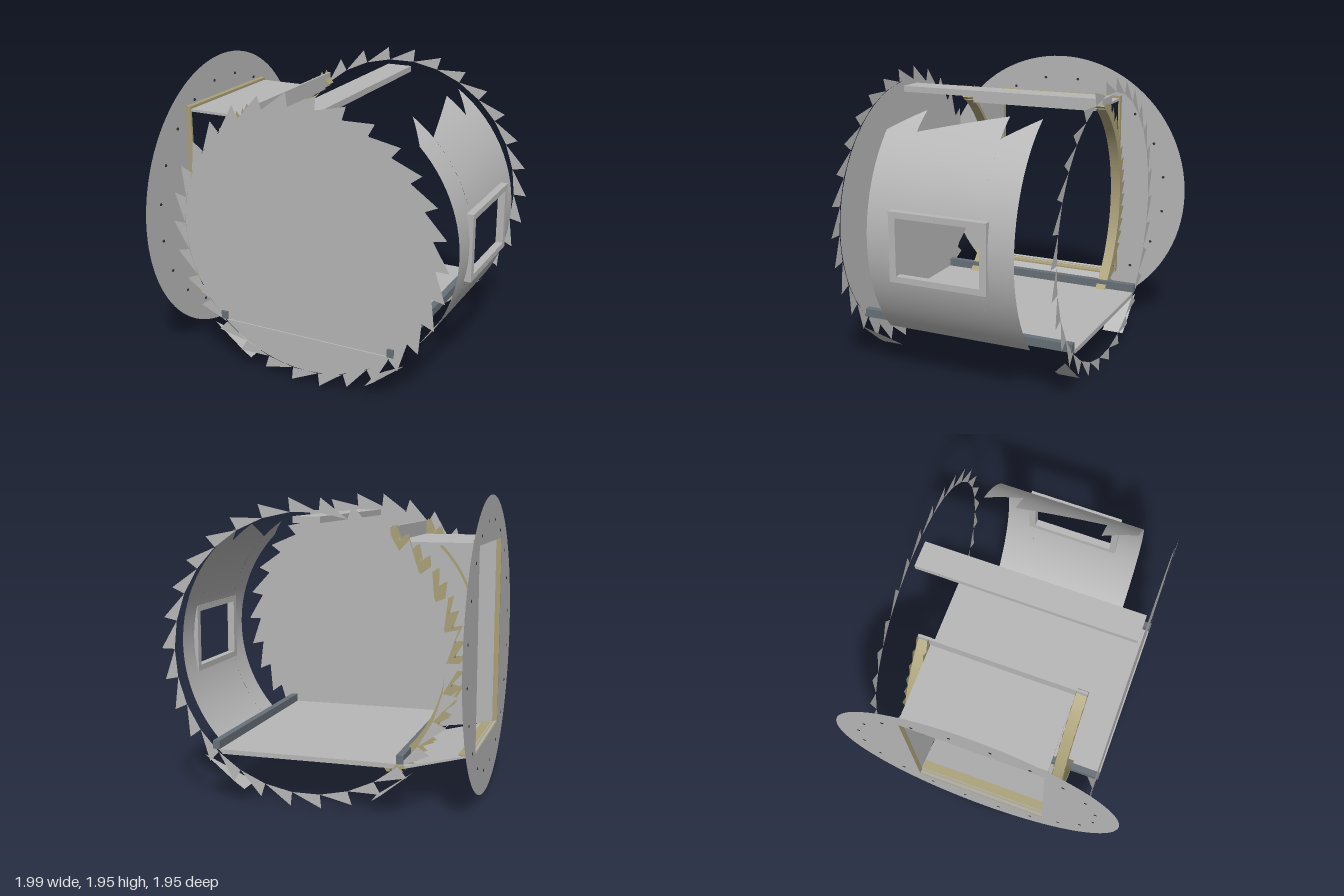
import * as THREE from 'three';

const CX = 0.02, CY = 0.98; // axis of the main drum
const D2 = THREE.DoubleSide;
const mat = (name, color, side = D2) => {
  const m = new THREE.MeshStandardMaterial({ color, side });
  m.name = name;
  return m;
};

export function createModel() {
  const root = new THREE.Group();
  root.name = 'drumChamber';
  const grey = mat('panelGrey', 0xb8b8b8);
  const slate = mat('slate', 0x687178);
  const beige = mat('beige', 0xaba179);
  const dark = mat('boltDark', 0x333333);

  const add = (name, geo, m, x = 0, y = 0, z = 0) => {
    const mesh = new THREE.Mesh(geo, m);
    mesh.name = name;
    mesh.position.set(x, y, z);
    root.add(mesh);
    return mesh;
  };
  // box given by its limits
  const box = (name, m, x0, x1, y0, y1, z0, z1) =>
    add(name, new THREE.BoxGeometry(x1 - x0, y1 - y0, z1 - z0), m, (x0 + x1) / 2, (y0 + y1) / 2, (z0 + z1) / 2);
  const fromPoints = (pts) => {
    const g = new THREE.BufferGeometry();
    g.setAttribute('position', new THREE.Float32BufferAttribute(pts, 3));
    g.computeVertexNormals();
    return g;
  };
  // saw teeth in a plane of constant z
  const teeth = (r0, r1, a0, step, n) => {
    const p = [];
    const put = (r, a) => p.push(CX + r * Math.cos(a), CY + r * Math.sin(a), 0);
    for (let i = 0; i < n; i++) {
      const a = a0 + i * step;
      put(r0, a); put(r1, a); put(r0, a + step);
    }
    return fromPoints(p);
  };
  const rectPath = (P, x0, x1, y0, y1) => {
    const s = new P();
    s.moveTo(x0, y0); s.lineTo(x1, y0); s.lineTo(x1, y1); s.lineTo(x0, y1); s.closePath();
    return s;
  };

  // front end plate and the two toothed rims
  add('frontDisc', new THREE.CircleGeometry(0.88, 72), grey, CX, CY, 0.735);
  for (const s of [1, -1]) {
    add('toothedRim', teeth(0.88, 0.97, 0, Math.PI / 15, 30), grey, 0, 0, s * 0.742);
    // rim fins below the floor
    for (const k of [1, -1]) {
      const X = (x) => CX + k * x;
      add('rimFin', fromPoints([
        X(0.69), 0.3, s * 0.73, X(0.48), 0.13, s * 0.73, X(0.48), 0.13, s * 0.58,
        X(0.48), 0.13, s * 0.73, X(0.42), 0.09, s * 0.73, X(0.42), 0.09, s * 0.58,
        X(0.48), 0.13, s * 0.73, X(0.42), 0.09, s * 0.58, X(0.48), 0.13, s * 0.58,
      ]), grey);
    }
  }

  // floor slab with slanted ends, and its rails
  const floor = new THREE.Shape([[-0.54, 0.315], [0.58, 0.315], [0.61, 0.345], [-0.565, 0.345]]
    .map(([x, y]) => new THREE.Vector2(x, y)));
  add('floor', new THREE.ExtrudeGeometry(floor, { depth: 1.49, bevelEnabled: false }), grey, 0, 0, -0.745);
  box('floorRail', slate, -0.607, -0.562, 0.345, 0.4, -0.747, 0.747);
  box('floorRail', slate, 0.6, 0.645, 0.345, 0.4, -0.747, 0.747);

  // top beam
  box('topBeam', grey, -0.07, 0.105, 1.79, 1.83, -0.715, 0.715);

  // curved side shell: patches bent round the drum axis, ragged at the top
  const R = 0.94;
  const ang = (y) => Math.asin((y - CY) / R);
  const patch = (z0, z1, yBottom, yTop0, yTop1) => {
    const g = new THREE.PlaneGeometry(1, 1, 12, 24);
    const p = g.attributes.position, n = g.attributes.normal;
    for (let i = 0; i < p.count; i++) {
      const u = p.getX(i) + 0.5, v = p.getY(i) + 0.5;
      const top = THREE.MathUtils.lerp(ang(yTop0), ang(yTop1), u);
      const a = THREE.MathUtils.lerp(ang(yBottom), top, v);
      const c = Math.cos(a), s = Math.sin(a);
      p.setXYZ(i, CX + R * c, CY + R * s, THREE.MathUtils.lerp(z0, z1, u));
      n.setXYZ(i, c, s, 0);
    }
    add('sideShell', g, grey);
  };
  // u runs from +z to -z so the outer face is the front
  patch(0.5, 0.285, 0.345, 1.645, 1.76);
  patch(0.285, -0.285, 1.165, 1.645, 1.76);
  patch(0.285, -0.285, 0.345, 0.795, 0.795);
  patch(-0.285, -0.5, 0.345, 1.645, 1.76);

  // window frame in the shell
  const frame = rectPath(THREE.Shape, -0.33, 0.33, 0.755, 1.205);
  frame.holes.push(rectPath(THREE.Path, -0.285, 0.285, 0.795, 1.165));
  add('windowFrame', new THREE.ExtrudeGeometry(frame, { depth: 0.05, bevelEnabled: false }), grey, 0.93)
    .rotation.y = Math.PI / 2;

  // round mounting flange with a rectangular opening
  const flange = new THREE.Shape();
  flange.absarc(0, CY, 0.975, 0, Math.PI * 2);
  flange.holes.push(rectPath(THREE.Path, -0.46, 0.46, 0.36, 1.67));
  add('flange', new THREE.ShapeGeometry(flange, 48), grey, -0.997).rotation.y = -Math.PI / 2;
  for (let i = 0; i < 20; i++) {
    const a = (i + 0.5) * Math.PI / 10;
    const bolt = add('flangeBolt', new THREE.CylinderGeometry(0.01, 0.01, 0.008, 8), dark,
      -0.996, CY + 0.82 * Math.cos(a), 0.82 * Math.sin(a));
    bolt.rotation.z = Math.PI / 2;
  }

  // beige frame behind the opening
  const trim = rectPath(THREE.Shape, -0.475, 0.475, 0.345, 1.69);
  trim.holes.push(rectPath(THREE.Path, -0.46, 0.46, 0.36, 1.67));
  add('openingTrim', new THREE.ExtrudeGeometry(trim, { depth: 0.035, bevelEnabled: false }), beige, -0.96)
    .rotation.y = -Math.PI / 2;
  box('openingSill', beige, -0.96, -0.89, 0.345, 0.355, -0.46, 0.46);

  // tunnel between the flange and the drum
  box('tunnelRoof', grey, -0.995, -0.45, 1.655, 1.672, -0.467, 0.467);
  box('tunnelHeader', grey, -0.465, -0.45, 1.67, 1.765, -0.54, 0.54);
  box('tunnelFooter', slate, -0.485, -0.47, 0.2, 0.32, -0.54, 0.54);
  const slope = new THREE.Shape([[-0.99, 0.35], [-0.47, 0.215], [-0.47, 0.23], [-0.99, 0.365]]
    .map(([x, y]) => new THREE.Vector2(x, y)));
  add('tunnelFloor', new THREE.ExtrudeGeometry(slope, { depth: 0.934, bevelEnabled: false }), grey, 0, 0, -0.467);

  // tunnel side walls (lining faces inward) and toothed arches
  const lining = mat('liningGrey', 0xb8b8b8, THREE.FrontSide);
  const A0 = THREE.MathUtils.degToRad(122), A1 = THREE.MathUtils.degToRad(238);
  for (const s of [1, -1]) {
    const wall = new THREE.Shape();
    const w0 = Math.PI - Math.asin(0.68 / 0.86), w1 = Math.PI + Math.asin(0.7 / 0.86);
    wall.moveTo(-0.99, 0.35);
    wall.lineTo(-0.99, 1.66);
    wall.lineTo(CX + 0.86 * Math.cos(w0), 1.66);
    wall.absarc(CX, CY, 0.86, w0, w1, false);
    wall.closePath();
    const g = new THREE.ShapeGeometry(wall, 24);
    const mesh = add('tunnelWall', g, lining, 0, 0, s * 0.466);
    if (s > 0) { // turn the face round for the front wall
      const ix = g.index.array;
      for (let i = 0; i < ix.length; i += 3) [ix[i], ix[i + 1]] = [ix[i + 1], ix[i]];
      g.computeVertexNormals();
    }
    mesh.updateMatrix();

    const arch = new THREE.Shape();
    arch.absarc(CX, CY, 0.885, A0, A1, false);
    arch.absarc(CX, CY, 0.84, A1, A0, true);
    arch.closePath();
    add('arch', new THREE.ExtrudeGeometry(arch, { depth: 0.07, bevelEnabled: false, curveSegments: 32 }),
      beige, 0, 0, s > 0 ? 0.47 : -0.54);
    for (const z of [0.47, 0.54])
      add('archTeeth', teeth(0.885, 0.945, A0, (A1 - A0) / 20, 20), beige, 0, 0, s * z);
  }
  return root;
}
